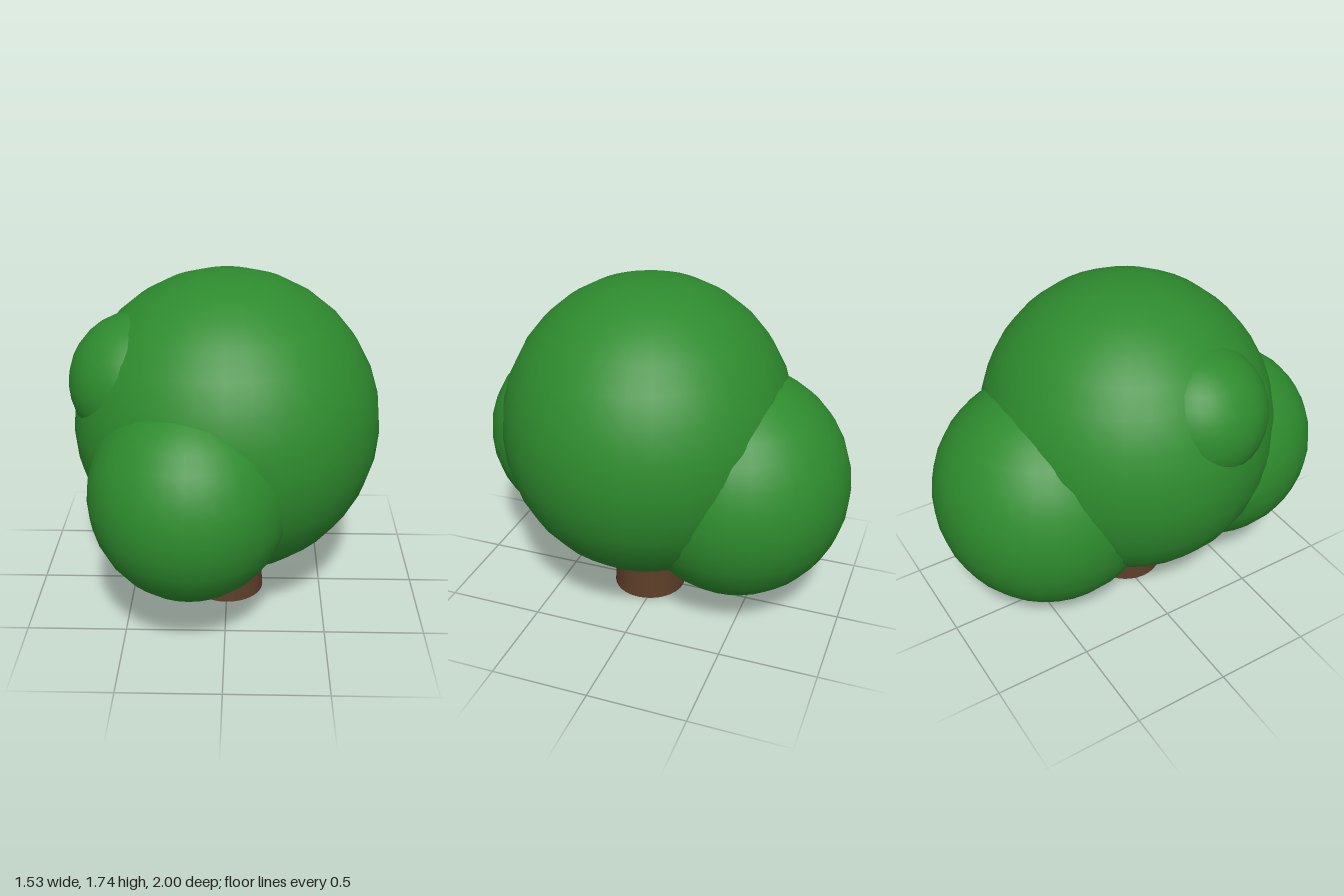
import * as THREE from 'three';

export function createModel() {
  const tree = new THREE.Group();
  tree.name = 'tree';
  const leaf = new THREE.MeshStandardMaterial({ color: 0x2e8b2e });
  const bark = new THREE.MeshStandardMaterial({ color: 0x5c3d28 });

  // Tapered trunk, running up into the crown
  const trunk = new THREE.Mesh(new THREE.CylinderGeometry(0.16, 0.192, 0.45, 32), bark);
  trunk.name = 'trunk';
  trunk.position.set(0, 0.225, 0.048);
  tree.add(trunk);

  // Foliage: overlapping ellipsoids as [name, centre, radii]
  const clumps = [
    ['mainCrown', [0, 0.972, 0.05], [0.767, 0.767, 0.742]],
    ['frontClump', [-0.167, 0.775, 0.48], [0.488, 0.515, 0.52]],
    ['backClump', [0, 0.722, -0.43], [0.575, 0.59, 0.57]],
    ['rightClump', [-0.42, 1.22, 0.17], [0.345, 0.345, 0.345]],
  ];
  const ball = new THREE.SphereGeometry(1, 32, 16);
  for (const [name, centre, radii] of clumps) {
    const clump = new THREE.Mesh(ball, leaf);
    clump.name = name;
    clump.position.set(...centre);
    clump.scale.set(...radii);
    tree.add(clump);
  }
  return tree;
}
